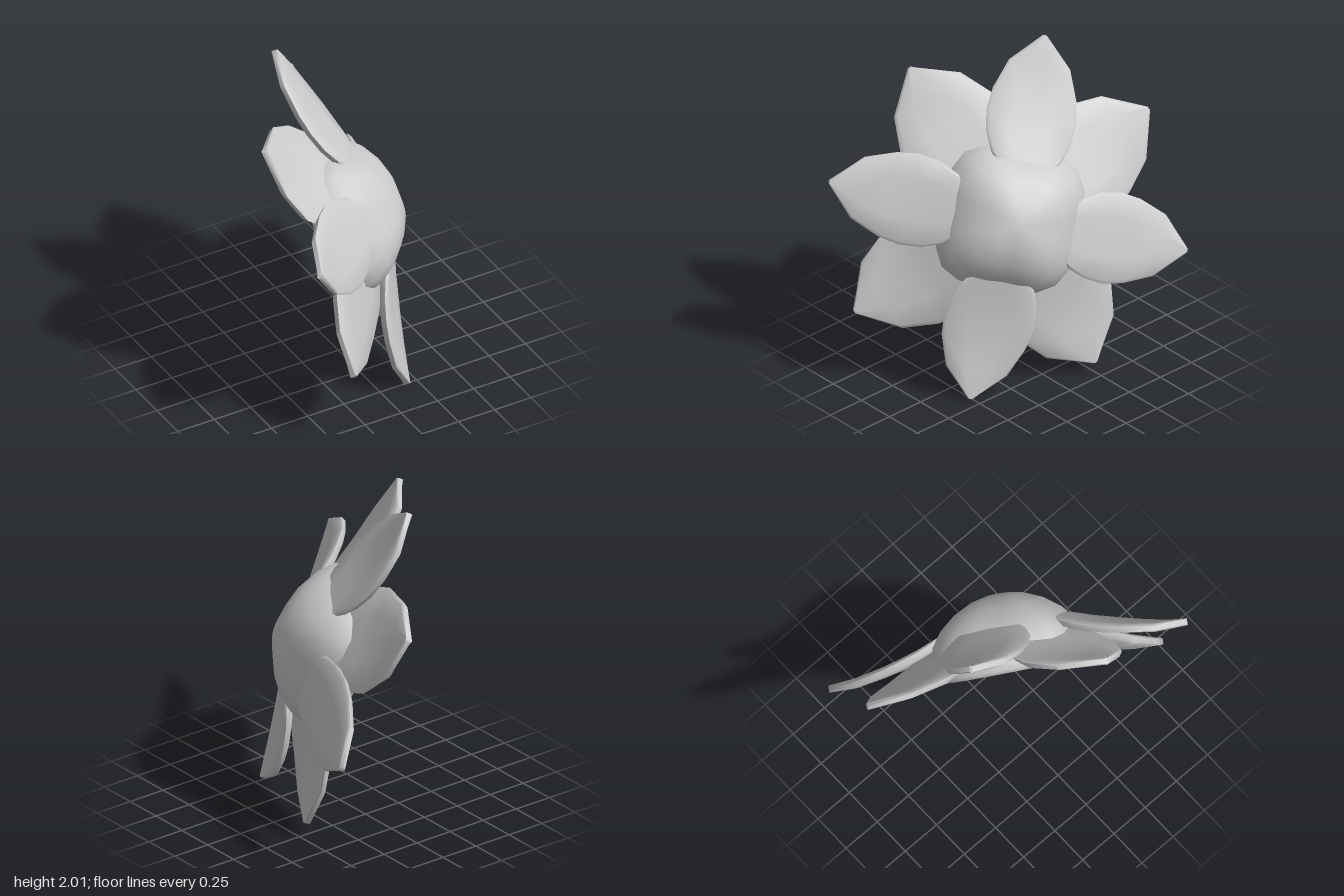
import * as THREE from 'three';
import { toCreasedNormals } from 'three/addons/utils/BufferGeometryUtils.js';

// Cross-section of a petal: [side as share of half width, depth as share of thickness]
const SECTION = [
  [-1, -0.25], [-0.93, 0], [-0.45, 0.08], [0, 0.12], [0.45, 0.08], [0.93, 0], [1, -0.25],
  [0.9, -0.85], [0.45, -1.05], [0, -1.1], [-0.45, -1.05], [-0.9, -0.85],
];

// Petal rows from root to tip: [distance from axis, half width, height, thickness]
const UPPER = [
  [0.33, 0.15, 0.25, 0.06], [0.39, 0.215, 0.23, 0.06], [0.5, 0.262, 0.188, 0.06],
  [0.63, 0.28, 0.15, 0.06], [0.76, 0.26, 0.117, 0.055], [0.94, 0.19, 0.083, 0.05],
  [1.115, 0.012, 0.07, 0.035],
];
const LOWER = [
  [0.32, 0.22, 0.185, 0.06], [0.42, 0.29, 0.145, 0.06], [0.55, 0.33, 0.085, 0.06],
  [0.68, 0.33, 0.032, 0.06], [0.88, 0.24, -0.018, 0.05], [1.07, 0.012, -0.045, 0.035],
];

// Closed solid lofted through the rows
function petalGeometry(rows) {
  const n = SECTION.length;
  const pos = [];
  const index = [];
  for (const [r, w, h, t] of rows) {
    for (const [s, d] of SECTION) pos.push(r, h + d * t, s * w);
  }
  for (let i = 0; i < rows.length - 1; i++) {
    for (let j = 0; j < n; j++) {
      const a = i * n + j;
      const b = i * n + (j + 1) % n;
      index.push(a, b, a + n, b, b + n, a + n);
    }
  }
  const end = (rows.length - 1) * n;
  for (let k = 1; k < n - 1; k++) {
    index.push(0, k + 1, k, end, end + k, end + k + 1);
  }
  const geo = new THREE.BufferGeometry();
  geo.setAttribute('position', new THREE.Float32BufferAttribute(pos, 3));
  geo.setIndex(index);
  return toCreasedNormals(geo, 0.9);
}

// Dome with a flat back, pushed out towards four soft corners above the rim
function centreGeometry() {
  const profile = [
    [0, -0.035], [0.43, -0.035], [0.47, -0.015], [0.487, 0.03], [0.47, 0.11], [0.44, 0.19],
    [0.375, 0.275], [0.275, 0.352], [0.16, 0.405], [0.06, 0.424], [0, 0.427],
  ].map(([x, y]) => new THREE.Vector2(x, y));
  const geo = new THREE.LatheGeometry(profile, 24);
  const pos = geo.attributes.position;
  for (let i = 0; i < pos.count; i++) {
    const x = pos.getX(i);
    const z = pos.getZ(i);
    const rise = THREE.MathUtils.smoothstep(pos.getY(i), -0.03, 0.18);
    const k = 1 - (0.02 + 0.06 * rise) * Math.cos(4 * Math.atan2(z, x));
    pos.setX(i, x * k);
    pos.setZ(i, z * k);
  }
  return toCreasedNormals(geo, 0.9);
}

export function createModel() {
  const grey = new THREE.MeshStandardMaterial({ color: 0xcccccc });
  grey.name = 'grey';

  const flower = new THREE.Group();
  flower.name = 'flower';

  const centre = new THREE.Mesh(centreGeometry(), grey);
  centre.name = 'centre';
  flower.add(centre);

  // Two staggered layers of four petals, slightly uneven in angle
  const layers = [
    { name: 'upperPetal', geo: petalGeometry(UPPER), angles: [-0.5, 88.2, 179.3, 269] },
    { name: 'lowerPetal', geo: petalGeometry(LOWER), angles: [43.7, 132.8, 222.5, 316] },
  ];
  for (const { name, geo, angles } of layers) {
    angles.forEach((angle, i) => {
      const petal = new THREE.Mesh(geo, grey);
      petal.name = name + (i + 1);
      petal.rotation.y = THREE.MathUtils.degToRad(angle);
      flower.add(petal);
    });
  }

  // Tilt the flower: its axis leans to the side, up and forward
  const axis = new THREE.Vector3(0.806, 0.37, 0.464).normalize();
  const first = new THREE.Vector3(-0.173, 0.895, -0.413);
  first.addScaledVector(axis, -first.dot(axis)).normalize();
  const side = new THREE.Vector3().crossVectors(first, axis);
  flower.quaternion.setFromRotationMatrix(new THREE.Matrix4().makeBasis(first, axis, side));
  flower.position.set(-0.05, 0.98, 0.02);

  const model = new THREE.Group();
  model.name = 'model';
  model.add(flower);
  return model;
}
